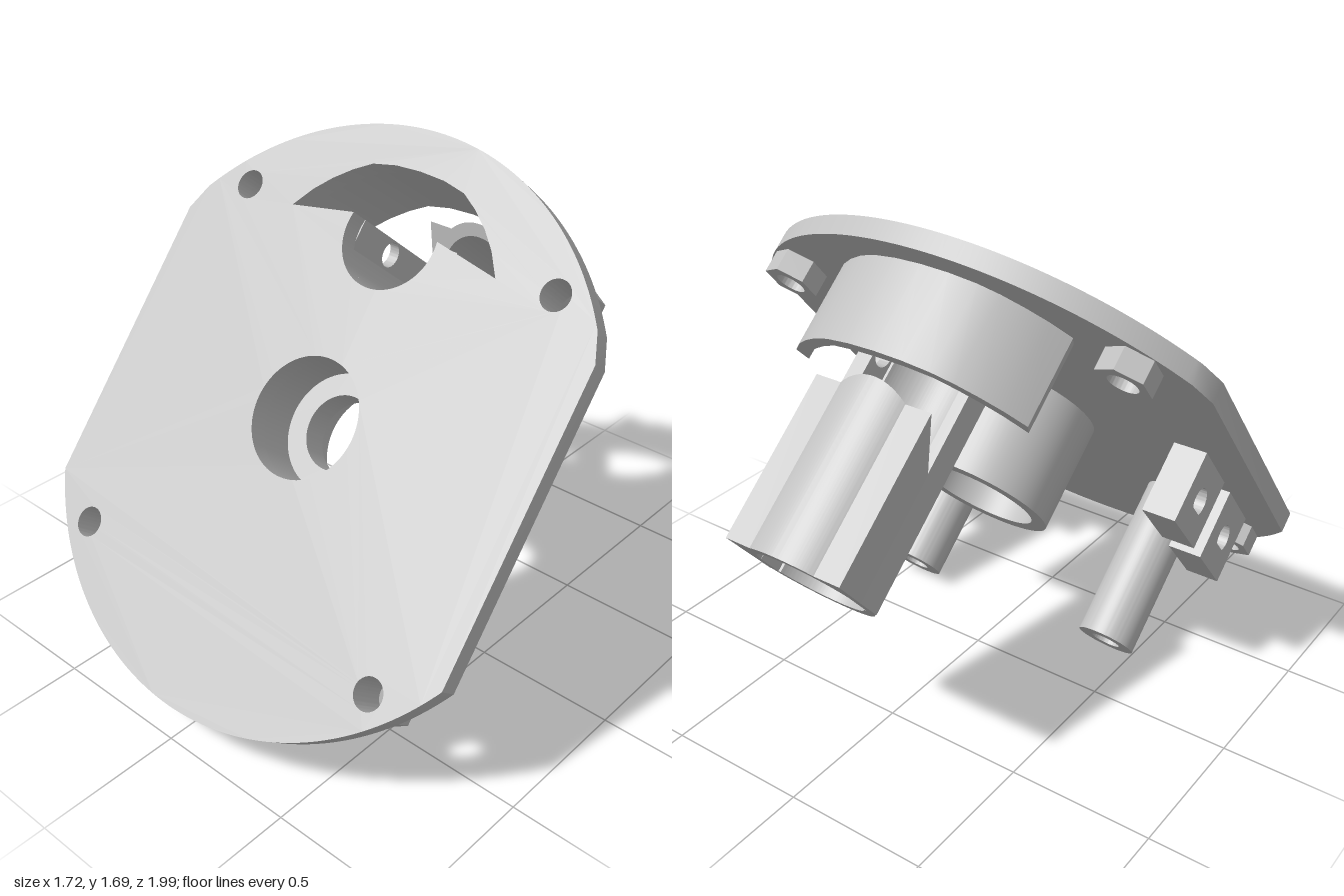
import * as THREE from 'three';
import { toCreasedNormals } from 'three/addons/utils/BufferGeometryUtils.js';

const PI = Math.PI;
const grey = new THREE.MeshStandardMaterial({ color: 0xc0c0c0 });
grey.name = 'plain grey';

// Extrude a shape from back (z0) to front (z1)
function extrude(shape, z0, z1) {
  const g = new THREE.ExtrudeGeometry(shape, { depth: z1 - z0, bevelEnabled: false, curveSegments: 40 });
  return g.translate(0, 0, z0);
}

// Extrude a (depth, height) side profile along x, between x0 and x1
function extrudeSide(shape, x0, x1) {
  return extrude(shape, x0, x1).rotateY(PI / 2);
}

function circle(x, y, r, Type = THREE.Shape) {
  return new Type().absarc(x, y, r, 0, 2 * PI, false);
}

function ring(x, y, outer, inner) {
  const s = circle(x, y, outer);
  s.holes.push(circle(x, y, inner, THREE.Path));
  return s;
}

function polygon(points) {
  return new THREE.Shape(points.map(([x, y]) => new THREE.Vector2(x, y)));
}

export function createModel() {
  const model = new THREE.Group();
  model.name = 'mountingPlate';
  // Everything is built upright with the plate's face on z = 0, then tilted back
  const body = new THREE.Group();
  body.name = 'tiltedBody';
  body.position.set(0, 0.9225, 0.35);
  body.rotation.x = -40 * PI / 180;
  model.add(body);

  function add(name, geometry) {
    const mesh = new THREE.Mesh(toCreasedNormals(geometry, 0.5), grey);
    mesh.name = name;
    body.add(mesh);
  }

  const T = 0.072;          // plate thickness
  const N = 0.645;          // corner hole offset
  const tubeY = 0.64, tubeR = 0.217, boreR = 0.18, tubeEnd = 1.037, rimY = 0.676;

  // Half of the hood's inner and outer curve, from the side to the centre
  const hoodIn = [[0.43, 0.63], [0.375, 0.705], [0.32, 0.76], [0.255, 0.81], [0.19, 0.848], [0.1, 0.866], [0, 0.871]];
  const hoodOut = [[0.45, 0.685], [0.395, 0.752], [0.335, 0.806], [0.265, 0.855], [0.195, 0.888], [0.1, 0.91], [0, 0.917]];
  const mirrored = half => [...half, ...half.slice(0, -1).reverse().map(([x, y]) => [-x, y])];

  // Round plate with flat sides
  const plate = new THREE.Shape();
  const aTop = Math.atan2(0.59, 0.82), aLow = Math.atan2(0.53, 0.86);
  plate.moveTo(0.86, -0.53);
  plate.lineTo(0.86, 0.495);
  plate.absarc(0, 0, 1.01, aTop, PI - aTop, false);
  plate.lineTo(-0.86, 0.495);
  plate.lineTo(-0.86, -0.53);
  plate.absarc(0, 0, 1.01, PI + aLow, 2 * PI - aLow, false);
  for (const x of [-N, N]) for (const y of [-N, N]) plate.holes.push(circle(x, y, 0.052, THREE.Path));
  plate.holes.push(circle(0, 0, 0.205, THREE.Path));
  const opening = new THREE.Path();
  mirrored(hoodIn).forEach(([x, y], i) => (i ? opening.lineTo(x, y) : opening.moveTo(x, y)));
  opening.absarc(0, tubeY, boreR, PI - 0.2, 2 * PI + 0.2, false);
  opening.closePath();
  plate.holes.push(opening);
  add('plate', extrude(plate, -T, 0));

  // Central boss with an inner ledge
  add('centreBoss', extrude(ring(0, 0, 0.26, 0.205), -0.456, -T));
  add('centreLedge', extrude(ring(0, 0, 0.206, 0.13), -0.31, -0.21));

  // Curved hood behind the upper opening
  add('hood', extrude(polygon([...mirrored(hoodOut), ...mirrored(hoodIn).reverse()]), -0.376, -T));

  // Holder tube: rounded floor
  const floor = new THREE.Shape();
  const fo = Math.asin(0.07 / tubeR), fi = Math.asin(0.07 / boreR);
  floor.absarc(0, tubeY, tubeR, PI + fo, 2 * PI - fo, false);
  floor.absarc(0, tubeY, boreR, 2 * PI - fi, PI + fi, true);
  floor.closePath();
  add('tubeFloor', extrude(floor, -tubeEnd, -T));

  // Holder tube: side walls with a cross hole
  const wall = polygon([[T, 0.568], [tubeEnd, 0.568], [tubeEnd, rimY], [T, rimY]]);
  wall.holes.push(circle(0.28, 0.626, 0.044, THREE.Path));
  add('tubeWallLeft', extrudeSide(wall, 0.175, 0.214));
  add('tubeWallRight', extrudeSide(wall, -0.214, -0.175));

  // Holder tube: roof with square shoulders and a slanted front end
  const roof = new THREE.Shape();
  roof.moveTo(0.216, rimY);
  roof.lineTo(0.22, 0.818);
  roof.absarc(0, tubeY, tubeR, 0.962, PI - 0.962, false);
  roof.lineTo(-0.22, 0.818);
  roof.lineTo(-0.216, rimY);
  roof.absarc(0, tubeY, boreR, PI - 0.2, 0.2, true);
  roof.closePath();
  const roofGeo = extrude(roof, -tubeEnd, -0.4);
  const p = roofGeo.attributes.position;
  for (let i = 0; i < p.count; i++) if (p.getZ(i) > -0.7) p.setZ(i, p.getY(i) - 1.288);
  roofGeo.computeVertexNormals();
  add('tubeRoof', roofGeo);

  // Block side profile with a teardrop cross hole pointing away from the plate
  function blockProfile(y) {
    const s = polygon([[T, y - 0.1225], [0.323, y - 0.1225], [0.323, y + 0.1225], [T, y + 0.1225]]);
    const h = new THREE.Path();
    h.moveTo(0.2 + 0.068, y);
    h.absarc(0.2, y, 0.048, PI / 4, 2 * PI - PI / 4, false);
    h.closePath();
    s.holes.push(h);
    return s;
  }

  for (const [side, s] of [['Left', 1], ['Right', -1]]) {
    // Hexagonal collars behind the corner holes
    for (const [row, y] of [['upper', N], ['lower', -N]]) {
      const hex = polygon(Array.from({ length: 6 }, (_, i) => {
        const a = PI / 6 + i * PI / 3;
        return [s * N + 0.095 * Math.cos(a), y + 0.095 * Math.sin(a)];
      }));
      hex.holes.push(circle(s * N, y, 0.052, THREE.Path));
      add(row + 'Collar' + side, extrude(hex, -0.151, -T));
    }
    // Hollow posts
    add('post' + side, extrude(ring(s * 0.43, -0.534, 0.103, 0.052), -0.667, -T));
    // Pairs of drilled blocks
    for (const [row, y] of [['upper', -0.0745], ['lower', -0.4045]]) {
      add(row + 'Block' + side, extrudeSide(blockProfile(y), s > 0 ? 0.6 : -0.72, s > 0 ? 0.72 : -0.6));
    }
  }
  return model;
}
